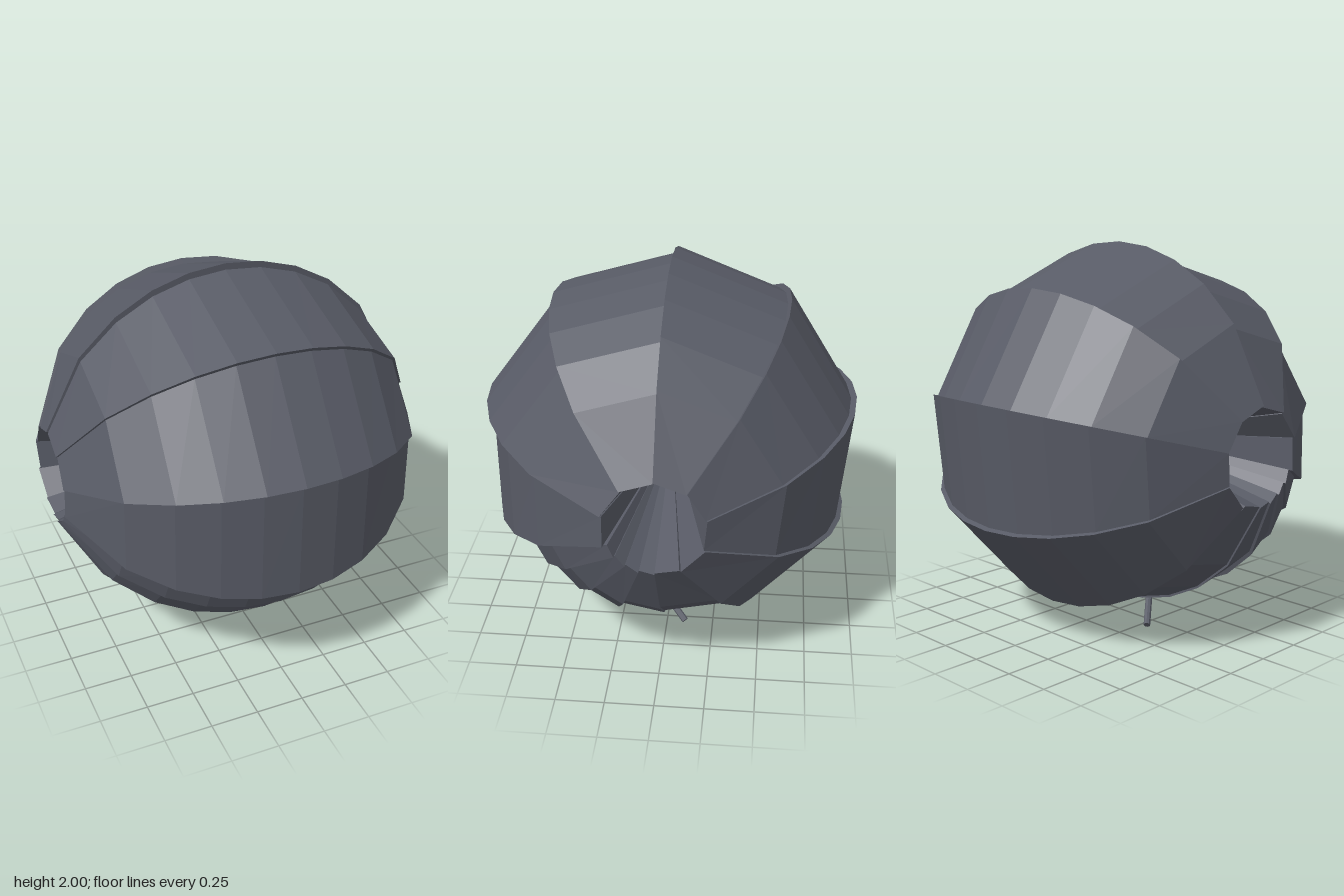
import * as THREE from 'three';

// Each plate: start angle, end angle (degrees, from the top over the back), start and end radius
const PLATES = [
  [0, 37.1, 1, 0.966],
  [37.1, 74.2, 0.997, 0.966],
  [74.2, 111.3, 0.997, 0.966],
  [111.3, 149.3, 0.993, 0.965],
  [149.3, 179, 0.917, 0.893],
  [179, 197.4, 0.905, 0.89],
  [197.4, 214.6, 0.922, 0.89],
  [214.6, 231.4, 0.923, 0.89],
  [231.4, 248.2, 0.922, 0.9],
  [248.2, 285.3, 0.993, 0.96],
  [285.3, 322.6, 0.995, 0.966],
  [322.6, 360, 0.995, 0.966],
];

const HALF_STEPS = 5;
const STEP = 0.193;

// One wedge of the rolled shell, running from side to side and tapering to the ball's centre
function plateGeometry([a0, a1, r0, r1]) {
  const pos = [];
  const tri = (...pts) => pts.forEach((p) => pos.push(p.x, p.y, p.z));
  const point = (i, deg, scale, shrink) => {
    const x = i * STEP;
    const r = scale * Math.sqrt(1 - x * x);
    const a = THREE.MathUtils.degToRad(deg);
    return new THREE.Vector3(x * shrink, 1 + r * Math.cos(a), -r * Math.sin(a));
  };
  const start = [], end = [];
  for (let i = -HALF_STEPS; i <= HALF_STEPS; i++) {
    start.push(point(i, a0, r0, 1));
    end.push(point(i, a1, r1, 0.992));
  }
  const c = new THREE.Vector3(0, 1, 0);
  const last = start.length - 1;
  for (let i = 0; i < last; i++) {
    // outer surface
    tri(start[i], start[i + 1], end[i + 1]);
    tri(start[i], end[i + 1], end[i]);
    // leading and trailing walls
    tri(c, start[i + 1], start[i]);
    tri(c, end[i], end[i + 1]);
  }
  // recessed hub facets on both sides
  tri(c, end[last], start[last]);
  tri(c, start[0], end[0]);

  const geo = new THREE.BufferGeometry();
  geo.setAttribute('position', new THREE.Float32BufferAttribute(pos, 3));
  geo.computeVertexNormals();
  return geo;
}

// Thin rod between two points
function rod(from, to, radius, material) {
  const dir = to.clone().sub(from);
  const mesh = new THREE.Mesh(new THREE.CylinderGeometry(radius, radius, dir.length(), 8), material);
  mesh.position.copy(from).add(to).multiplyScalar(0.5);
  mesh.quaternion.setFromUnitVectors(new THREE.Vector3(0, 1, 0), dir.normalize());
  return mesh;
}

export function createModel() {
  const model = new THREE.Group();
  model.name = 'rolledShell';

  const shell = new THREE.MeshStandardMaterial({ color: 0x585b66, flatShading: true });
  shell.name = 'slateGrey';

  PLATES.forEach((p, i) => {
    const plate = new THREE.Mesh(plateGeometry(p), shell);
    plate.name = `shellPlate${i + 1}`;
    model.add(plate);
  });

  // pair of feelers poking out underneath
  for (const s of [1, -1]) {
    const feeler = rod(
      new THREE.Vector3(s * 0.15, 0.18, 0.09),
      new THREE.Vector3(s * 0.305, 0.012, -0.1),
      0.018,
      shell
    );
    feeler.name = s > 0 ? 'leftFeeler' : 'rightFeeler';
    model.add(feeler);
  }
  return model;
}
